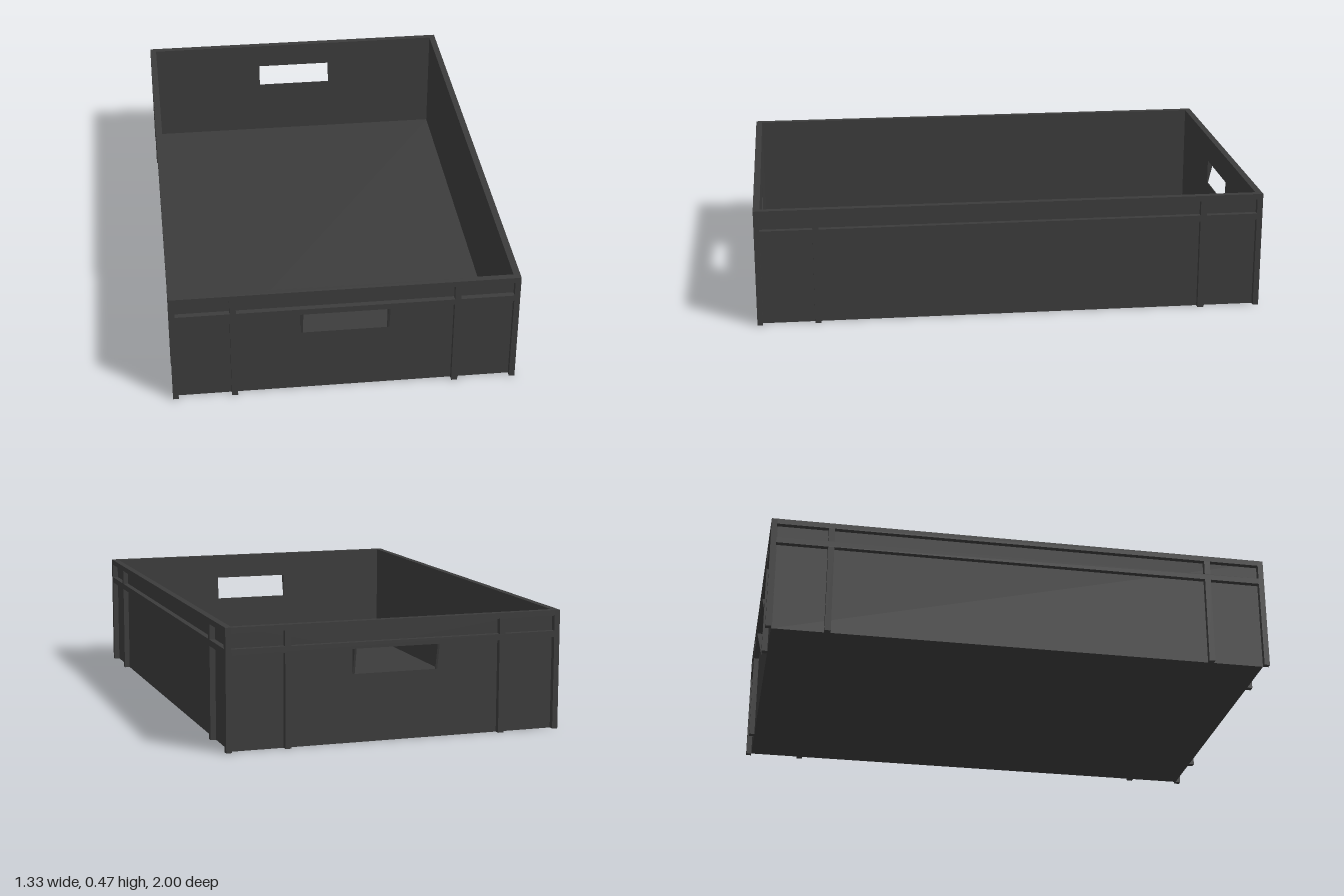
import * as THREE from 'three';

const W = 0.667, D = 1, H = 0.467; // half width, half depth, height
const RIB = 0.022;                 // how far ribs and rails stand out
const SKIN = 0.004;                // wall thickness
const FLOOR = 0.024;

export function createModel() {
  const crate = new THREE.Group();
  crate.name = 'crate';
  const material = new THREE.MeshStandardMaterial({ color: 0x3c3c3c });

  const add = (parent, name, geometry) => {
    const mesh = new THREE.Mesh(geometry, material);
    mesh.name = name;
    parent.add(mesh);
    return mesh;
  };
  // Box given by its limits
  const box = (parent, name, x0, x1, y0, y1, z0, z1) =>
    add(parent, name, new THREE.BoxGeometry(x1 - x0, y1 - y0, z1 - z0))
      .position.set((x0 + x1) / 2, (y0 + y1) / 2, (z0 + z1) / 2);

  // One side facing +z: half is its half length, out its outermost plane
  const side = (name, half, out, ribX, withHandle) => {
    const group = new THREE.Group();
    group.name = name;
    const face = out - RIB, inner = half - RIB;

    // Thin wall, with a hand hole on the short sides
    const shape = new THREE.Shape([
      new THREE.Vector2(-inner, 0), new THREE.Vector2(inner, 0),
      new THREE.Vector2(inner, H), new THREE.Vector2(-inner, H),
    ]);
    if (withHandle) {
      shape.holes.push(new THREE.Path([
        new THREE.Vector2(-0.162, 0.262), new THREE.Vector2(-0.162, 0.362),
        new THREE.Vector2(0.162, 0.362), new THREE.Vector2(0.162, 0.262),
      ]));
    }
    const wall = new THREE.ExtrudeGeometry(shape, { depth: SKIN, bevelEnabled: false });
    add(group, 'wall', wall).position.z = face - SKIN;

    // Horizontal rails between the corner posts
    box(group, 'topRail', -inner, inner, 0.445, H, face, out);
    box(group, 'lowerRail', -inner, inner, 0.362, 0.386, face, out);

    for (const s of [-1, 1]) {
      // Upright ribs, interrupted by the rails
      const a = s * ribX - 0.012, b = s * ribX + 0.012;
      box(group, 'rib', a, b, 0, 0.362, face, out);
      box(group, 'upperRib', a, b, 0.386, 0.445, face, out);
      if (withHandle) {
        // Triangular gusset beside the hand hole, deepest under the rail
        const wedge = new THREE.ExtrudeGeometry(new THREE.Shape([
          new THREE.Vector2(0, 0.262), new THREE.Vector2(0, 0.362), new THREE.Vector2(-RIB, 0.362),
        ]), { depth: 0.008, bevelEnabled: false });
        wedge.rotateY(Math.PI / 2);
        add(group, 'handleGusset', wedge).position.set(s * 0.166 - 0.004, 0, face);
      }
    }
    return group;
  };

  // Two short sides with handles, two long sides without
  [['frontSide', 0], ['backSide', Math.PI]].forEach(([name, turn]) => {
    const g = side(name, W, D, 0.428, true);
    g.rotation.y = turn;
    crate.add(g);
  });
  [['leftSide', Math.PI / 2], ['rightSide', -Math.PI / 2]].forEach(([name, turn]) => {
    const g = side(name, D, W, 0.763, false);
    g.rotation.y = turn;
    crate.add(g);
  });

  // Corner posts
  for (const sx of [-1, 1]) for (const sz of [-1, 1]) {
    add(crate, 'cornerPost', new THREE.BoxGeometry(RIB, H, RIB))
      .position.set(sx * (W - RIB / 2), H / 2, sz * (D - RIB / 2));
  }

  // Floor, flush with the wall faces
  const fx = W - RIB - 0.001, fz = D - RIB - 0.001;
  box(crate, 'floor', -fx, fx, 0, FLOOR, -fz, fz);
  return crate;
}
